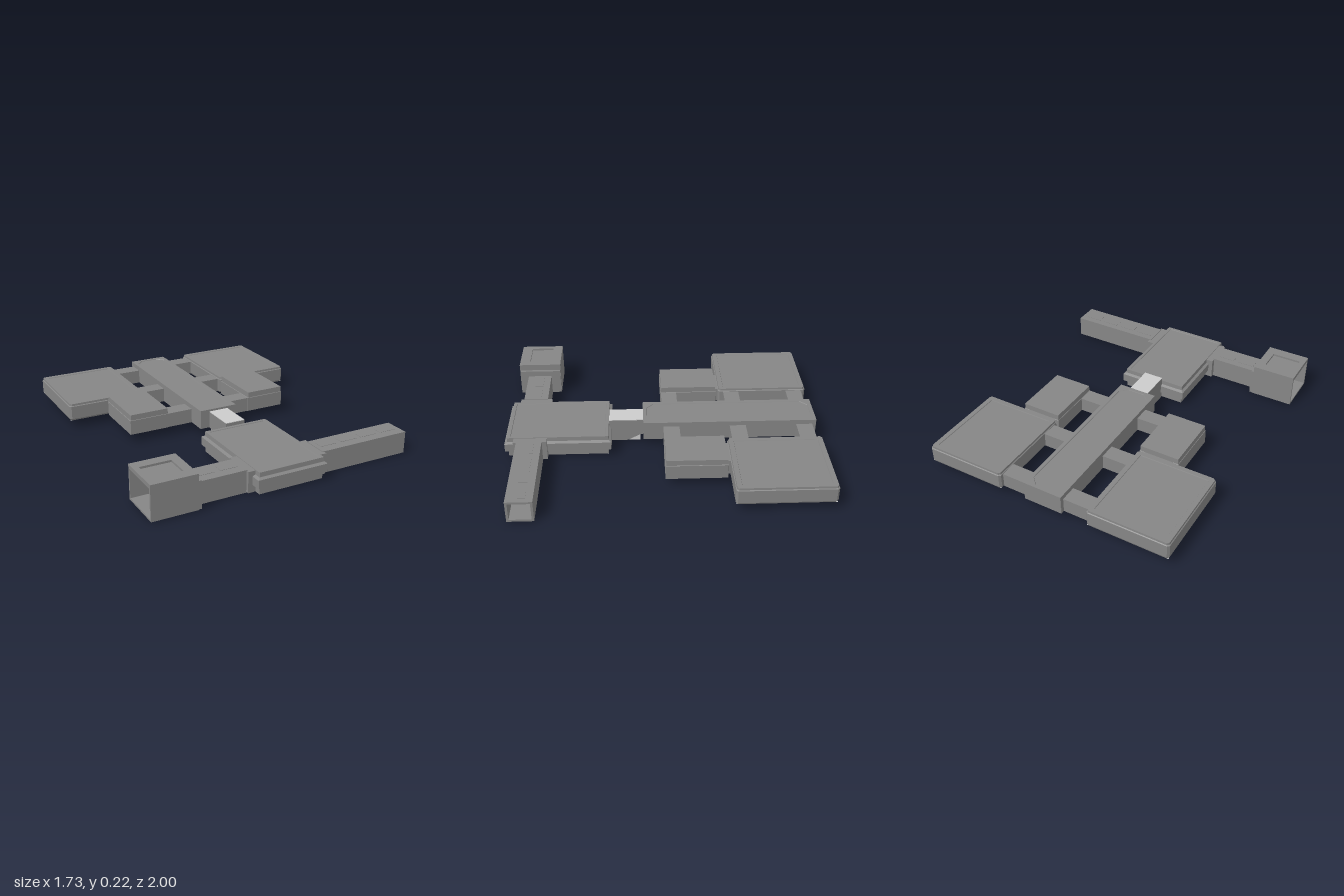
import * as THREE from 'three';

const wallMaterial = new THREE.MeshStandardMaterial({ color: 0x868686, flatShading: true, side: THREE.DoubleSide });
const paleMaterial = new THREE.MeshStandardMaterial({ color: 0xcccccc, flatShading: true, side: THREE.DoubleSide });

function add(group, name, geometry, material = wallMaterial) {
  const mesh = new THREE.Mesh(geometry, material);
  mesh.name = name;
  group.add(mesh);
  return mesh;
}

// Box given by its limits on each axis
function block(group, name, x0, x1, y0, y1, z0, z1, material) {
  const mesh = add(group, name, new THREE.BoxGeometry(Math.abs(x1 - x0), y1 - y0, z1 - z0), material);
  mesh.position.set((x0 + x1) / 2, (y0 + y1) / 2, (z0 + z1) / 2);
}

// Room with a pale floor: a rectangle lofted through levels of [height, inset, corner cut]
function room(group, name, xa, xb, z0, z1, levels) {
  const x0 = Math.min(xa, xb), x1 = Math.max(xa, xb);
  const rings = levels.map(([y, inset, cut = 0.002]) => {
    const l = x0 + inset, r = x1 - inset, b = z0 + inset, f = z1 - inset;
    return [[r, f - cut], [r, b + cut], [r - cut, b], [l + cut, b],
      [l, b + cut], [l, f - cut], [l + cut, f], [r - cut, f]].map(([x, z]) => [x, y, z]);
  });
  const points = [];
  const tri = (a, b, c) => points.push(...a, ...b, ...c);
  for (let k = 0; k < rings.length - 1; k++) {
    for (let i = 0; i < 8; i++) {
      const j = (i + 1) % 8, low = rings[k], high = rings[k + 1];
      tri(low[i], low[j], high[j]);
      tri(low[i], high[j], high[i]);
    }
  }
  const top = rings[rings.length - 1];
  for (let i = 1; i < 7; i++) tri(top[0], top[i], top[i + 1]);
  const geometry = new THREE.BufferGeometry();
  geometry.setAttribute('position', new THREE.Float32BufferAttribute(points, 3));
  geometry.computeVertexNormals();
  add(group, name, geometry);

  const [floorY, inset] = levels[0];
  const floor = new THREE.PlaneGeometry(x1 - x0 - 2 * inset, z1 - z0 - 2 * inset);
  floor.rotateX(Math.PI / 2);
  floor.translate((x0 + x1) / 2, floorY, (z0 + z1) / 2);
  add(group, name + 'Floor', floor, paleMaterial);
}

// Rectangular passage along x, open at both ends
function tunnel(group, name, x0, x1, y0, y1, z0, z1, wall) {
  const names = ['Floor', 'Roof', 'BackWall', 'FrontWall'];
  const limits = [[y0, y0 + wall, z0, z1], [y1 - wall, y1, z0, z1],
    [y0 + wall, y1 - wall, z0, z0 + wall], [y0 + wall, y1 - wall, z1 - wall, z1]];
  limits.forEach((l, i) => block(group, name + names[i], x0, x1, ...l));
}

// Solid with a [z, y] side profile, centred on x = 0
function prism(group, name, profile, width, material) {
  const shape = new THREE.Shape(profile.map(([z, y]) => new THREE.Vector2(-z, y)));
  const geometry = new THREE.ExtrudeGeometry(shape, { depth: width, bevelEnabled: false });
  geometry.translate(0, 0, -width / 2);
  geometry.rotateY(Math.PI / 2);
  add(group, name, geometry, material);
}

export function createModel() {
  const model = new THREE.Group();
  model.name = 'roomComplex';
  const base = 0.055;

  // Long central hall with a sunken eight-sided roof panel
  room(model, 'centralHall', -0.128, 0.128, -0.995, 0.12, [
    [base, 0], [0.178, 0], [0.178, 0.024, 0.045], [0.174, 0.026, 0.045]]);

  // Mirrored side wings
  for (const s of [-1, 1]) {
    const wing = new THREE.Group();
    wing.name = s > 0 ? 'leftWing' : 'rightWing';
    model.add(wing);

    room(wing, 'largeRoom', s * 0.295, s * 0.82, -1, -0.4, [
      [base, 0.004, 0.012], [0.065, 0, 0.012], [0.15, 0, 0.012], [0.154, 0.005, 0.012],
      [0.167, 0.006, 0.012], [0.167, 0.036], [0.163, 0.038]]);
    room(wing, 'smallRoom', s * 0.295, s * 0.56, -0.385, -0.005, [
      [base, 0], [0.148, 0], [0.15, 0.003], [0.185, 0.004]]);
    room(wing, 'roomNeck', s * 0.33, s * 0.52, -0.41, -0.37, [[base, 0], [0.15, 0]]);
    for (const z of [-0.917, -0.487, -0.06]) {
      room(wing, 'linkCorridor', s * 0.11, s * 0.31, z - 0.052, z + 0.052, [[base, 0], [0.148, 0]]);
    }
  }

  // Passage from the hall to the front room, with a sloping underside
  const passage = new THREE.Group();
  passage.name = 'rampPassage';
  model.add(passage);
  prism(passage, 'passageBody',
    [[0.34, 0.01], [0.22, 0.01], [0.14, 0.052], [0.115, 0.056], [0.115, 0.161], [0.34, 0.161]], 0.13);
  prism(passage, 'rampWedge', [[0.22, 0.01], [0.14, 0.01], [0.14, 0.052]], 0.126, paleMaterial);
  block(passage, 'passageRoof', -0.065, 0.065, 0.161, 0.165, 0.115, 0.34, paleMaterial);

  // Front room with a wide middle band and a sunken roof panel
  room(model, 'frontRoom', -0.232, 0.232, 0.325, 1, [
    [0.008, 0.02], [0.042, 0.02], [0.053, 0, 0.004], [0.105, 0, 0.004], [0.115, 0.016],
    [0.142, 0.018], [0.142, 0.038], [0.138, 0.04]]);
  for (const s of [-1, 1]) block(model, 'doorCollar', s * 0.19, s * 0.26, 0.008, 0.138, 0.73, 0.94);

  // Arm corridors with a row of low roof panels
  tunnel(model, 'leftArm', 0.25, 0.862, 0.003, 0.142, 0.76, 0.92, 0.014);
  tunnel(model, 'rightArm', -0.58, -0.25, 0.003, 0.142, 0.76, 0.92, 0.014);
  for (const x of [-0.48, -0.335, 0.335, 0.48, 0.625, 0.77]) {
    block(model, 'armRoofPanel', x - 0.056, x + 0.056, 0.141, 0.144, 0.805, 0.86);
  }

  // Tall end chamber, open on its outer side, with a framed roof recess
  const chamber = new THREE.Group();
  chamber.name = 'endChamber';
  model.add(chamber);
  tunnel(chamber, 'chamber', -0.865, -0.585, 0.008, 0.21, 0.695, 0.98, 0.012);
  block(chamber, 'chamberInnerWallBack', -0.597, -0.567, 0.01, 0.18, 0.697, 0.785);
  block(chamber, 'chamberInnerWallFront', -0.597, -0.567, 0.01, 0.18, 0.895, 0.978);
  block(chamber, 'chamberLintel', -0.597, -0.567, 0.125, 0.18, 0.785, 0.895);
  block(chamber, 'chamberUpperWall', -0.597, -0.587, 0.18, 0.2, 0.7, 0.975);
  const [fx0, fx1, fz0, fz1] = [-0.865, -0.585, 0.695, 0.98];
  const [hx0, hx1, hz0, hz1] = [-0.83, -0.64, 0.76, 0.91];
  block(chamber, 'roofFrameBack', fx0, fx1, 0.21, 0.223, fz0, hz0);
  block(chamber, 'roofFrameFront', fx0, fx1, 0.21, 0.223, hz1, fz1);
  block(chamber, 'roofFrameOuter', fx0, hx0, 0.21, 0.223, hz0, hz1);
  block(chamber, 'roofFrameInner', hx1, fx1, 0.21, 0.223, hz0, hz1);

  return model;
}
